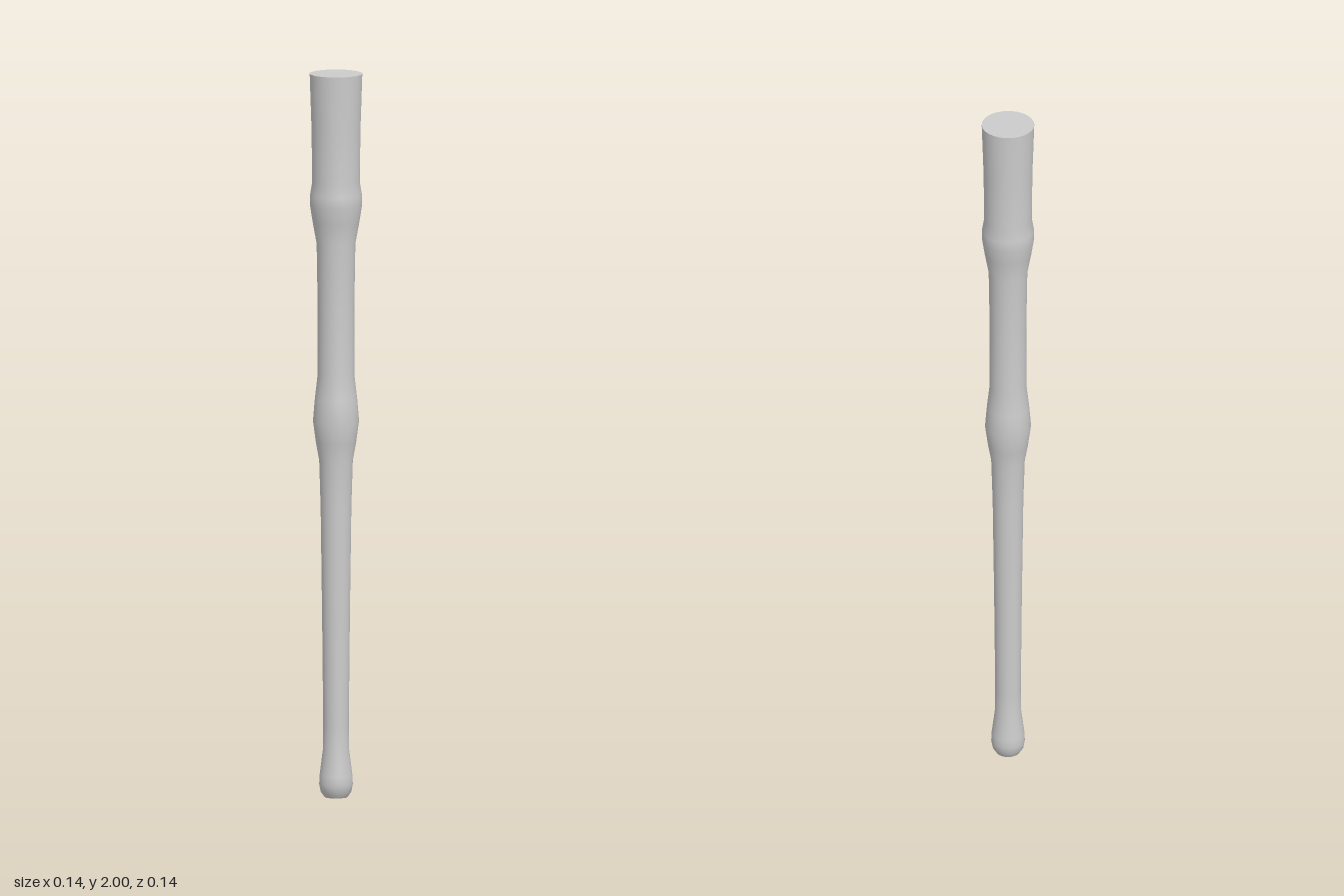
import * as THREE from 'three';

const SEGMENTS = 32;

// Radius and height up the turned shaft
const PROFILE = [
  [0.032, 0], [0.042, 0.015], [0.046, 0.035], [0.045, 0.06], [0.036, 0.13], [0.035, 0.2],
  [0.038, 0.5], [0.042, 0.8], [0.046, 0.93], [0.055, 0.98], [0.063, 1.04],
  [0.058, 1.1], [0.05, 1.17], [0.05, 1.35], [0.053, 1.53], [0.064, 1.59],
  [0.071, 1.635], [0.071, 1.665], [0.065, 1.7], [0.067, 1.85], [0.072, 2],
];

export function createModel() {
  const group = new THREE.Group();
  group.name = 'turnedLeg';
  const material = new THREE.MeshStandardMaterial({ color: 0xcccccc });

  const add = (name, geometry) => {
    const mesh = new THREE.Mesh(geometry, material);
    mesh.name = name;
    group.add(mesh);
    return mesh;
  };

  // Smooth shaft with its swellings and rounded foot
  add('shaft', new THREE.LatheGeometry(PROFILE.map(([r, y]) => new THREE.Vector2(r, y)), SEGMENTS));

  // Flat end caps
  const cap = (name, [radius, y], tilt) => {
    const mesh = add(name, new THREE.CircleGeometry(radius, SEGMENTS));
    mesh.rotation.x = tilt;
    mesh.position.y = y;
  };
  cap('topCap', PROFILE[PROFILE.length - 1], -Math.PI / 2);
  cap('footCap', PROFILE[0], Math.PI / 2);

  return group;
}
